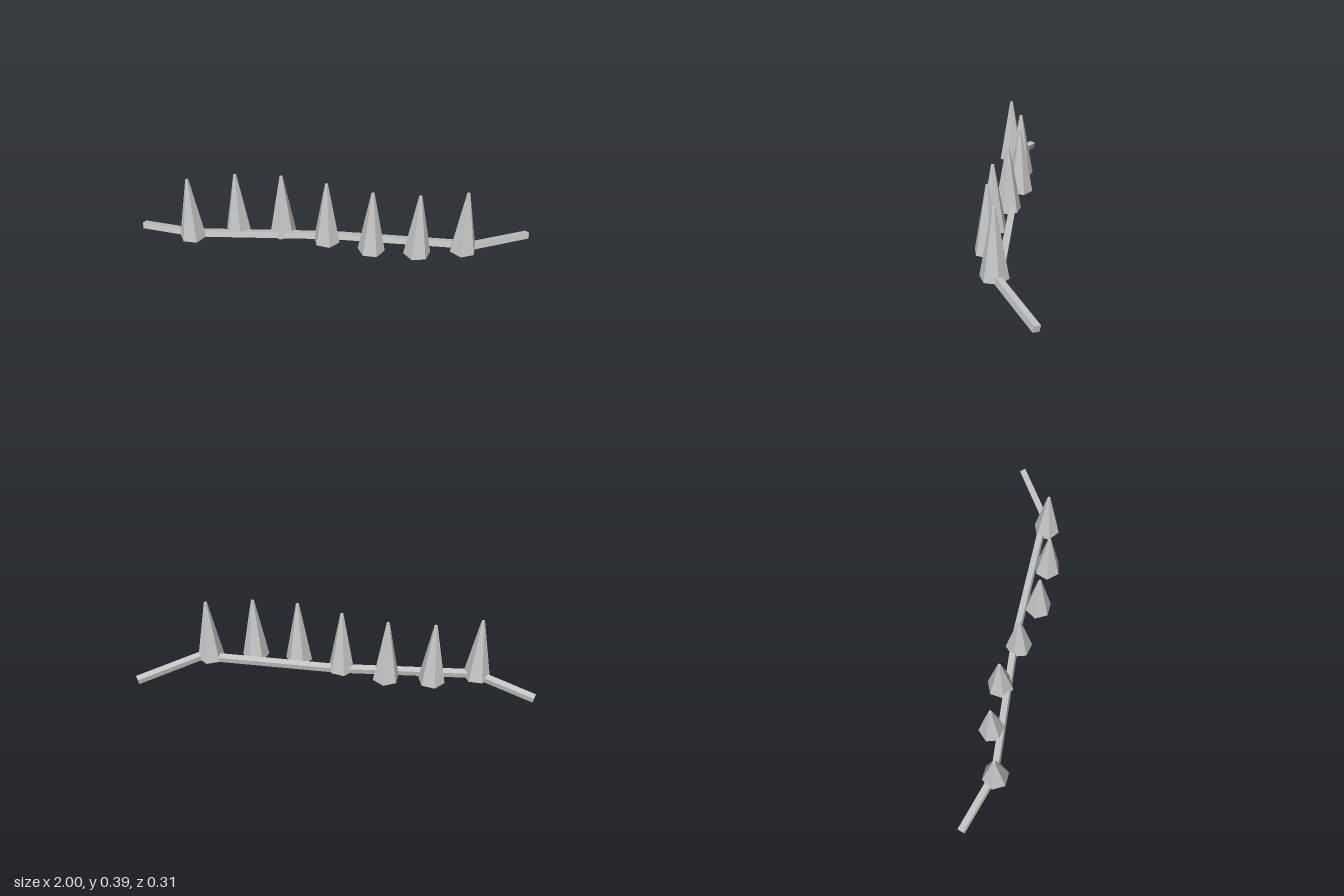
import * as THREE from 'three';

export function createModel() {
  const model = new THREE.Group();
  model.name = 'spikedBarrier';
  const stone = new THREE.MeshStandardMaterial({ color: 0xc6c6c6 });
  stone.name = 'lightGrey';

  // Square rail, four straight bars whose tops lean slightly back
  const lean = new THREE.Vector3(0, Math.cos(0.22), -Math.sin(0.22));
  const thickness = 0.032;
  function addBar(name, from, to) {
    const a = new THREE.Vector3(...from), b = new THREE.Vector3(...to);
    const along = b.clone().sub(a);
    const geometry = new THREE.BoxGeometry(along.length(), thickness, thickness);
    along.normalize();
    const up = lean.clone().addScaledVector(along, -lean.dot(along)).normalize();
    const side = new THREE.Vector3().crossVectors(along, up);
    const bar = new THREE.Mesh(geometry, stone);
    bar.quaternion.setFromRotationMatrix(new THREE.Matrix4().makeBasis(along, up, side));
    bar.position.copy(a).add(b).multiplyScalar(0.5);
    bar.name = name;
    model.add(bar);
  }
  addBar('rightEndBar', [-0.993, 0.022, -0.084], [-0.7, 0.067, 0.026]);
  addBar('rightMiddleBar', [-0.72, 0.067, 0.026], [0.02, 0.067, -0.002]);
  addBar('leftMiddleBar', [-0.02, 0.067, -0.002], [0.7, 0.067, 0.03]);
  addBar('leftEndBar', [0.69, 0.067, 0.038], [0.992, 0.02, -0.138]);

  // Blunt six-sided spikes: x, z and turn in degrees
  const spikes = [
    [-0.71, 0.03, 5], [-0.485, -0.03, 15], [-0.257, -0.031, 38], [-0.03, 0.022, 15],
    [0.196, 0.083, 5], [0.422, 0.093, 51], [0.65, 0.051, 40],
  ];
  const base = 0.053, top = 0.391;
  const spikeGeometry = new THREE.CylinderGeometry(0.008, 0.068, top - base, 6).toNonIndexed();
  spikeGeometry.rotateY(Math.PI / 2);
  spikeGeometry.computeVertexNormals();
  spikes.forEach(([x, z, turn], i) => {
    const spike = new THREE.Mesh(spikeGeometry, stone);
    spike.position.set(x, (base + top) / 2, z);
    spike.rotation.y = -THREE.MathUtils.degToRad(turn);
    spike.name = `spike${i + 1}`;
    model.add(spike);
  });
  return model;
}
